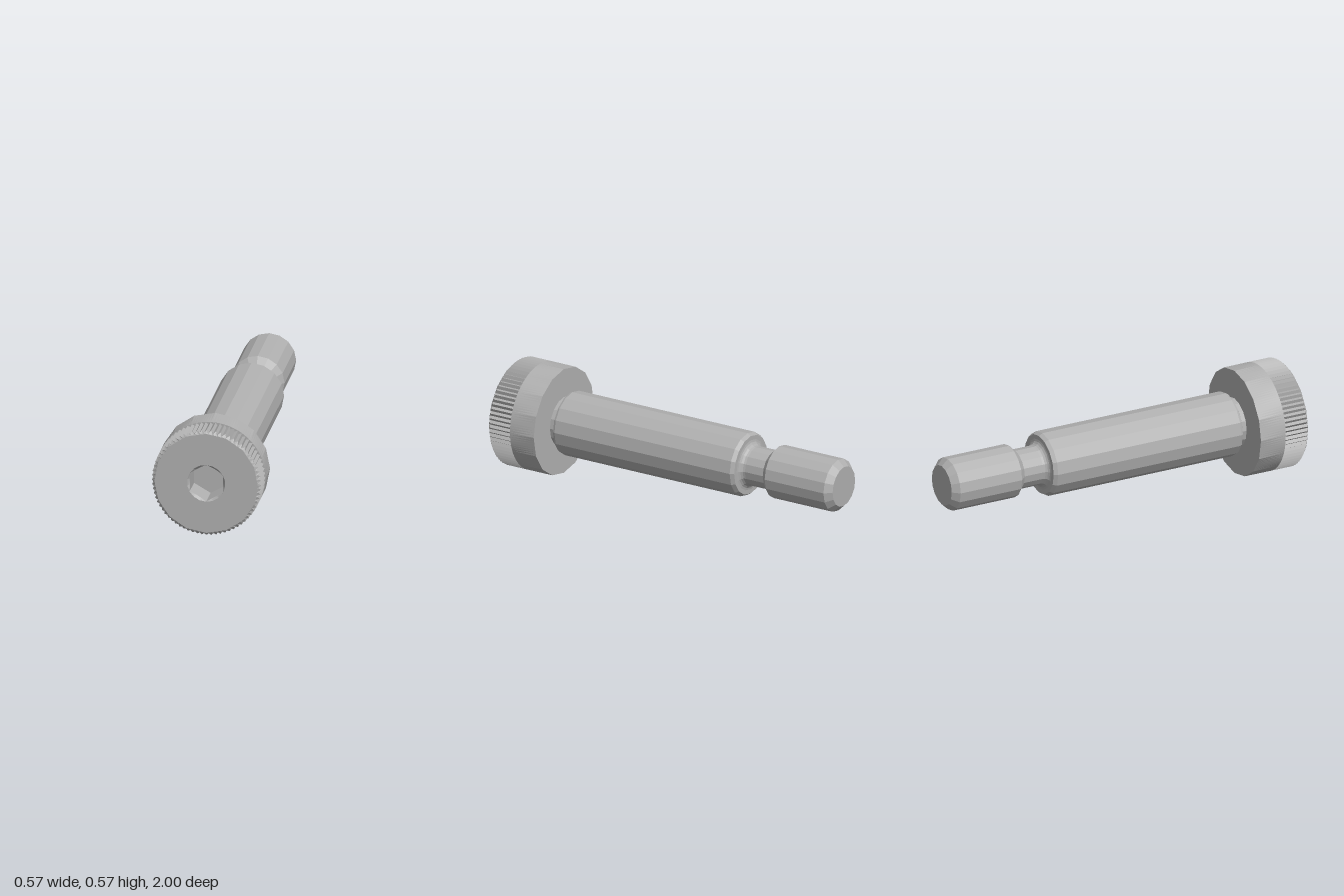
import * as THREE from 'three';

const AXIS_Y = 0.286;
const TAU = Math.PI * 2;

// Radius, at angle a from the top, of a regular n-gon with a corner at the top
function polyRadius(n, r, a) {
  const step = TAU / n;
  const local = ((a + 1e-9) % step) - step / 2;
  return r * Math.cos(step / 2) / Math.cos(local);
}

// Flat-shaded skin through rings; each ring maps (angle, index) to [radius, z]
function loft(name, material, count, rings) {
  const pos = [];
  const point = (ring, j) => {
    const k = j % count;
    const a = (k / count) * TAU;
    const [r, z] = ring(a, k);
    return [r * Math.sin(a), r * Math.cos(a), z];
  };
  for (let i = 0; i < rings.length - 1; i++) {
    for (let j = 0; j < count; j++) {
      const a = point(rings[i], j), b = point(rings[i], j + 1);
      const c = point(rings[i + 1], j), d = point(rings[i + 1], j + 1);
      pos.push(...a, ...b, ...c, ...b, ...d, ...c);
    }
  }
  const geometry = new THREE.BufferGeometry();
  geometry.setAttribute('position', new THREE.Float32BufferAttribute(pos, 3));
  geometry.computeVertexNormals();
  const mesh = new THREE.Mesh(geometry, material);
  mesh.name = name;
  return mesh;
}

const circle = (r, z) => () => [r, z];
const polygon = (n, r, z) => (a) => [polyRadius(n, r, a), z];

export function createModel() {
  const steel = new THREE.MeshStandardMaterial({ color: 0xb0b0b0 });
  steel.name = 'steel';

  const model = new THREE.Group();
  model.name = 'shoulderScrew';
  const body = new THREE.Group();
  body.name = 'body';
  body.position.y = AXIS_Y;
  model.add(body);

  const N = 144; // two samples per knurl tooth
  const headR = 0.286, rootR = 0.273, faceR = 0.27;
  const socketR = 0.1;

  // Hexagonal socket with a conical lead-in
  const hex = polygon(6, socketR, 0.86);
  const leadIn = (a) => {
    const r = polyRadius(6, socketR, a);
    return [r, 1 - (socketR - r)];
  };
  const socketRim = polygon(18, socketR, 1);
  body.add(loft('hexSocket', steel, N, [circle(0, 0.86), hex, leadIn, socketRim]));

  // Front face
  const faceRim = polygon(16, faceR, 1);
  body.add(loft('headFace', steel, N, [socketRim, faceRim]));

  // Knurled band: grooves run along the axis and break through the chamfer
  const tooth = (k) => (k % 2 === 0 ? headR : rootR);
  const knurlFront = (a, k) => [tooth(k), 1 - (tooth(k) - faceR)];
  const knurlBack = (a, k) => [tooth(k), 0.86];
  body.add(loft('knurledBand', steel, N, [faceRim, knurlFront, knurlBack, circle(headR, 0.86)]));

  // Plain collar, round at the knurl and faceted at the back
  body.add(loft('headCollar', steel, N, [
    circle(headR, 0.86), polygon(16, headR, 0.715), circle(0.1, 0.715),
  ]));

  // Turned parts as [radius, z] profiles, front to back
  const turned = (name, profile) =>
    body.add(loft(name, steel, 16, profile.map(([r, z]) => circle(r, z))));

  turned('neck', [[0.132, 0.715], [0.132, 0.69], [0.138, 0.68]]);

  turned('shoulder', [
    [0.12, 0.68], [0.156, 0.68], [0.165, 0.675], [0.17, 0.663],
    [0.17, -0.41], [0.158, -0.43], [0.135, -0.43],
  ]);

  // Undercut with a rounded fillet against the shoulder
  const undercut = [];
  for (let i = 0; i <= 4; i++) {
    const t = (i / 4) * Math.PI / 2;
    undercut.push([0.135 - 0.031 * Math.sin(t), -0.461 + 0.031 * Math.cos(t)]);
  }
  undercut.push([0.104, -0.57]);
  turned('undercut', undercut);

  turned('threadedEnd', [
    [0.104, -0.57], [0.14, -0.605], [0.14, -0.965], [0.107, -1], [0, -1],
  ]);

  return model;
}
